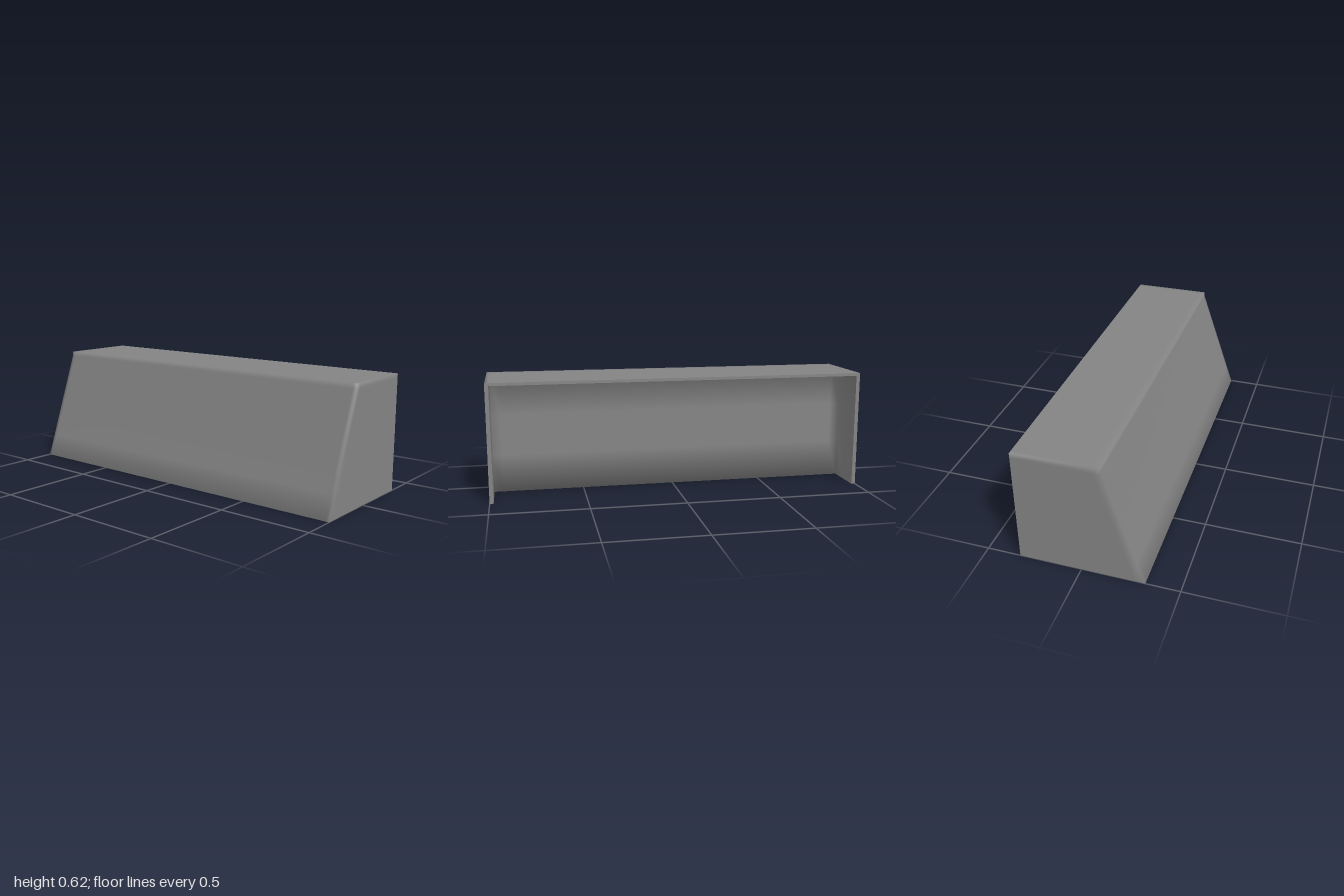
import * as THREE from 'three';
import { mergeGeometries, mergeVertices } from 'three/addons/utils/BufferGeometryUtils.js';

const FRONT_X = 0.325;  // open front edge
const BACK_X = -0.325;  // foot of the sloping back
const LIP_X = -0.27;    // inner edge of the narrow lip under the back
const RECESS_X = 0.1;   // upright wall inside the opening
const material = new THREE.MeshStandardMaterial({ color: 0x848484 });

// Back of the outer skin at height y; it turns upright above the knee
const slope = y => BACK_X + 0.215 * Math.min(y / 0.6, 1);
const recess = () => RECESS_X;

// Wall, top and two ends; open at +x and underneath.
// us, ys and zs are the edge loops across, up and along.
function skin(us, ys, zs, wallX, inward) {
  const n = [us.length - 1, ys.length - 1, zs.length - 1];
  const box = new THREE.BoxGeometry(1, 1, 1, ...n);
  const p = box.attributes.position;
  const loop = (list, value, count) => list[Math.round((value + 0.5) * count)];
  for (let i = 0; i < p.count; i++) {
    const u = loop(us, p.getX(i), n[0]);
    const y = loop(ys, p.getY(i), n[1]);
    const z = loop(zs, p.getZ(i), n[2]);
    p.setXYZ(i, THREE.MathUtils.lerp(wallX(y), FRONT_X, u), y, z);
  }
  // Drop the +x and -y sides
  const all = Array.from(box.index.array);
  const kept = box.groups
    .filter(g => g.materialIndex !== 0 && g.materialIndex !== 3)
    .flatMap(g => all.slice(g.start, g.start + g.count));
  if (inward) kept.reverse();
  box.setIndex(kept);
  box.clearGroups();
  return box;
}

// Flat strip on y = 0 facing down, with the loops zs along it
function underside(x0, x1, zs) {
  const plane = new THREE.PlaneGeometry(1, 1, 1, zs.length - 1);
  const p = plane.attributes.position;
  for (let i = 0; i < p.count; i++) {
    const z = zs[Math.round((p.getY(i) + 0.5) * (zs.length - 1))];
    p.setXYZ(i, p.getX(i) < 0 ? x0 : x1, 0, z);
  }
  return plane;
}

// Weld parts together so that their shading runs on smoothly
function weld(...parts) {
  const joined = mergeGeometries(parts);
  joined.deleteAttribute('uv');
  joined.deleteAttribute('normal');
  const geometry = mergeVertices(joined, 1e-5);
  geometry.computeVertexNormals();
  return geometry;
}

// Corners of the open edge: along one end, round the front, back along the other
function openEdge(top, end) {
  return [
    [LIP_X, 0, -end], [FRONT_X, 0, -end], [FRONT_X, top, -end],
    [FRONT_X, top, end], [FRONT_X, 0, end], [LIP_X, 0, end],
  ];
}

// Flat strips joining an outer and an inner edge
function rim(outer, inner) {
  const points = [];
  for (let i = 0; i < outer.length - 1; i++) {
    const [a, b, c, d] = [outer[i], outer[i + 1], inner[i], inner[i + 1]];
    points.push(...a, ...b, ...c, ...b, ...d, ...c);
  }
  const geometry = new THREE.BufferGeometry();
  geometry.setAttribute('position', new THREE.Float32BufferAttribute(points, 3));
  geometry.computeVertexNormals();
  return geometry;
}

export function createModel() {
  const group = new THREE.Group();
  group.name = 'hood';
  const add = (name, geometry) => {
    const mesh = new THREE.Mesh(geometry, material);
    mesh.name = name;
    group.add(mesh);
  };

  // Outer skin with its lip; loops close to the edges keep them crisp
  const outerZ = [-1, -0.98, 0.98, 1];
  add('outerShell', weld(
    skin([0, 0.08, 1], [0, 0.12, 0.6, 0.625], outerZ, slope, false),
    underside(BACK_X, LIP_X, outerZ),
  ));

  // Shallow recess flowing softly into the underside
  const innerZ = [-0.98, -0.93, 0.93, 0.98];
  add('recess', weld(
    skin([0, 0.5, 1], [0, 0.2, 0.42, 0.61], innerZ, recess, true),
    underside(LIP_X, RECESS_X, innerZ),
  ));

  // Wall thickness along the open edge
  add('rim', rim(openEdge(0.625, 1), openEdge(0.61, 0.98)));

  return group;
}
